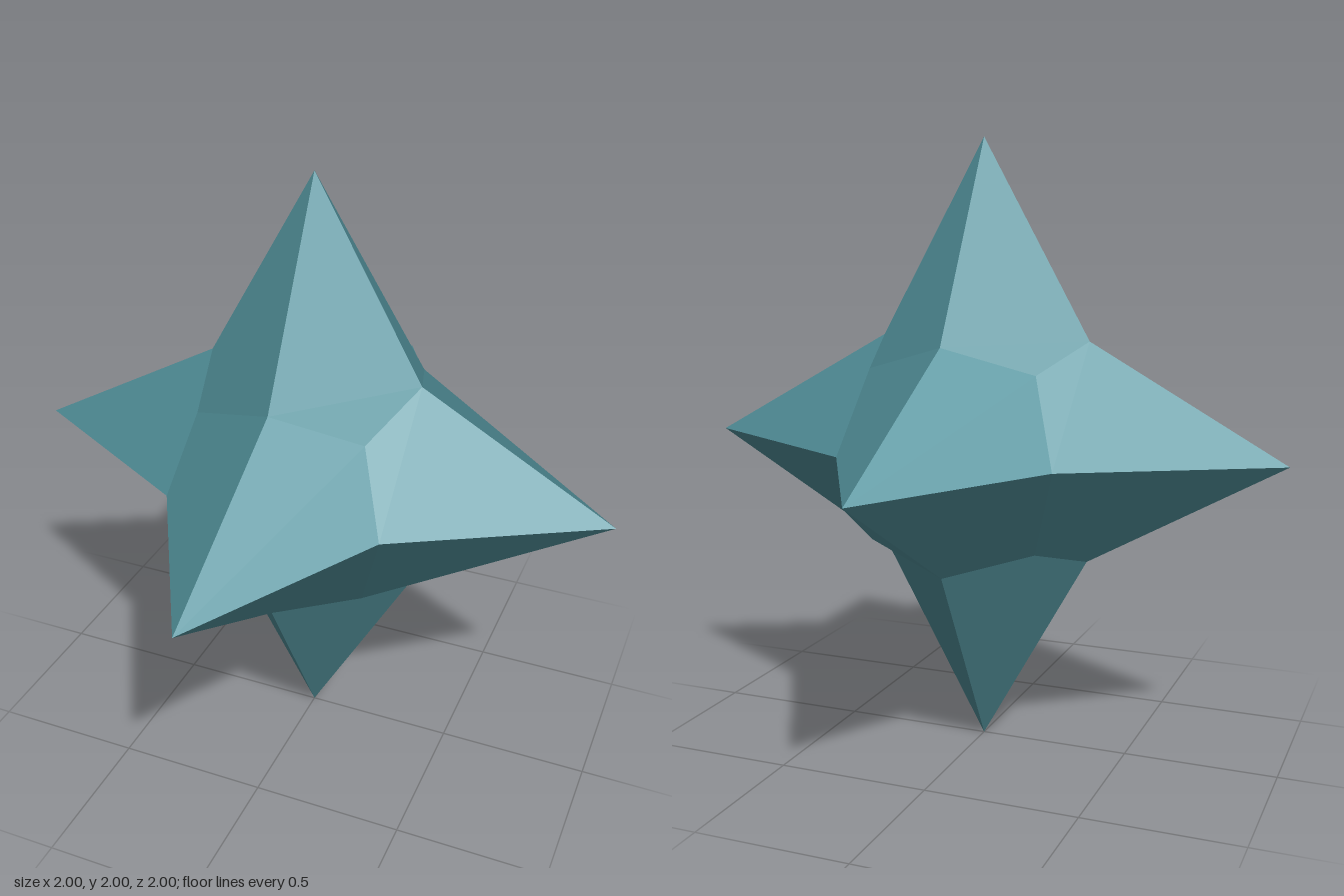
import * as THREE from 'three';

// Distance along each axis for points, notches between two points, and corners where three meet
const REACH = { 1: 1, 2: 0.36, 3: 0.278 };

// A box with each side cut in four, its side centres drawn out into points
function starGeometry() {
  const geometry = new THREE.BoxGeometry(2, 2, 2, 2, 2, 2).toNonIndexed();
  const position = geometry.attributes.position;
  const normal = geometry.attributes.normal;
  const v = new THREE.Vector3();
  for (let i = 0; i < position.count; i++) {
    v.fromBufferAttribute(position, i).round();
    const axes = Math.abs(v.x) + Math.abs(v.y) + Math.abs(v.z);
    v.multiplyScalar(REACH[axes]);
    position.setXYZ(i, v.x, v.y, v.z);
  }

  // One normal for each folded kite (two triangles), so it is evenly shaded
  const corner = (i) => new THREE.Vector3().fromBufferAttribute(position, i);
  const areaNormal = (i) => {
    const a = corner(i);
    return corner(i + 1).sub(a).cross(corner(i + 2).sub(a));
  };
  for (let i = 0; i < position.count; i += 6) {
    const n = areaNormal(i).add(areaNormal(i + 3)).normalize();
    for (let k = 0; k < 6; k++) normal.setXYZ(i + k, n.x, n.y, n.z);
  }
  return geometry;
}

export function createModel() {
  const model = new THREE.Group();
  model.name = 'sixPointedStar';
  const teal = new THREE.MeshStandardMaterial({ color: 0x54949e });
  teal.name = 'teal';

  const star = new THREE.Mesh(starGeometry(), teal);
  star.name = 'starBody';
  star.position.y = 1;
  model.add(star);
  return model;
}
